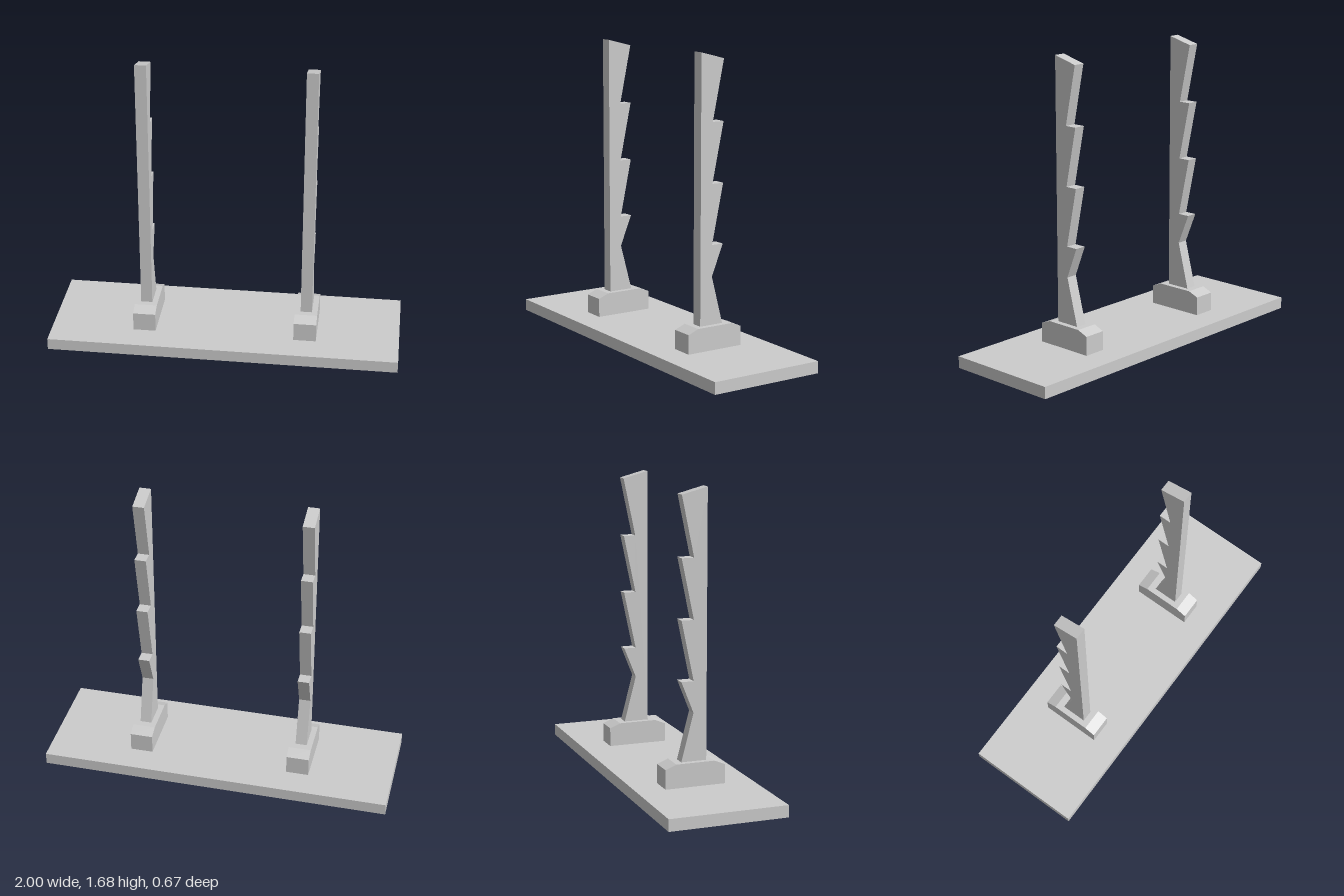
import * as THREE from 'three';

const material = new THREE.MeshStandardMaterial({ color: 0xcccccc, flatShading: true });

// Extrudes a side profile of [z, y] points to a given width, centred on x
function profileMesh(name, points, width) {
  const shape = new THREE.Shape(points.map(([z, y]) => new THREE.Vector2(z, y)));
  const geometry = new THREE.ExtrudeGeometry(shape, { depth: width, bevelEnabled: false });
  geometry.translate(0, 0, -width / 2).rotateY(-Math.PI / 2);
  const mesh = new THREE.Mesh(geometry, material);
  mesh.name = name;
  return mesh;
}

export function createModel() {
  const model = new THREE.Group();
  model.name = 'notchedPostRack';

  // Flat base board
  const base = new THREE.Mesh(new THREE.BoxGeometry(2, 0.067, 0.667), material);
  base.name = 'base';
  base.position.y = 0.0335;
  model.add(base);

  // Foot block with chamfered front and back edges
  const foot = [
    [-0.172, 0.067], [-0.172, 0.175], [-0.11, 0.2],
    [0.11, 0.2], [0.172, 0.175], [0.172, 0.067],
  ];

  // Post: straight front, saw-tooth back with three rests and a sloped top
  const front = 0.075, tip = -0.07, root = 0;
  const post = [[front, 0.2], [tip, 0.2], [root, 0.467]];
  for (const y of [0.642, 0.975, 1.308]) post.push([tip, y], [root, y]);
  post.push([tip, 1.642], [front, 1.68]);

  for (const [side, x] of [['left', 0.463], ['right', -0.463]]) {
    const upright = new THREE.Group();
    upright.name = side + 'Upright';
    upright.position.x = x;
    upright.add(profileMesh(side + 'Foot', foot, 0.129), profileMesh(side + 'Post', post, 0.065));
    model.add(upright);
  }
  return model;
}
